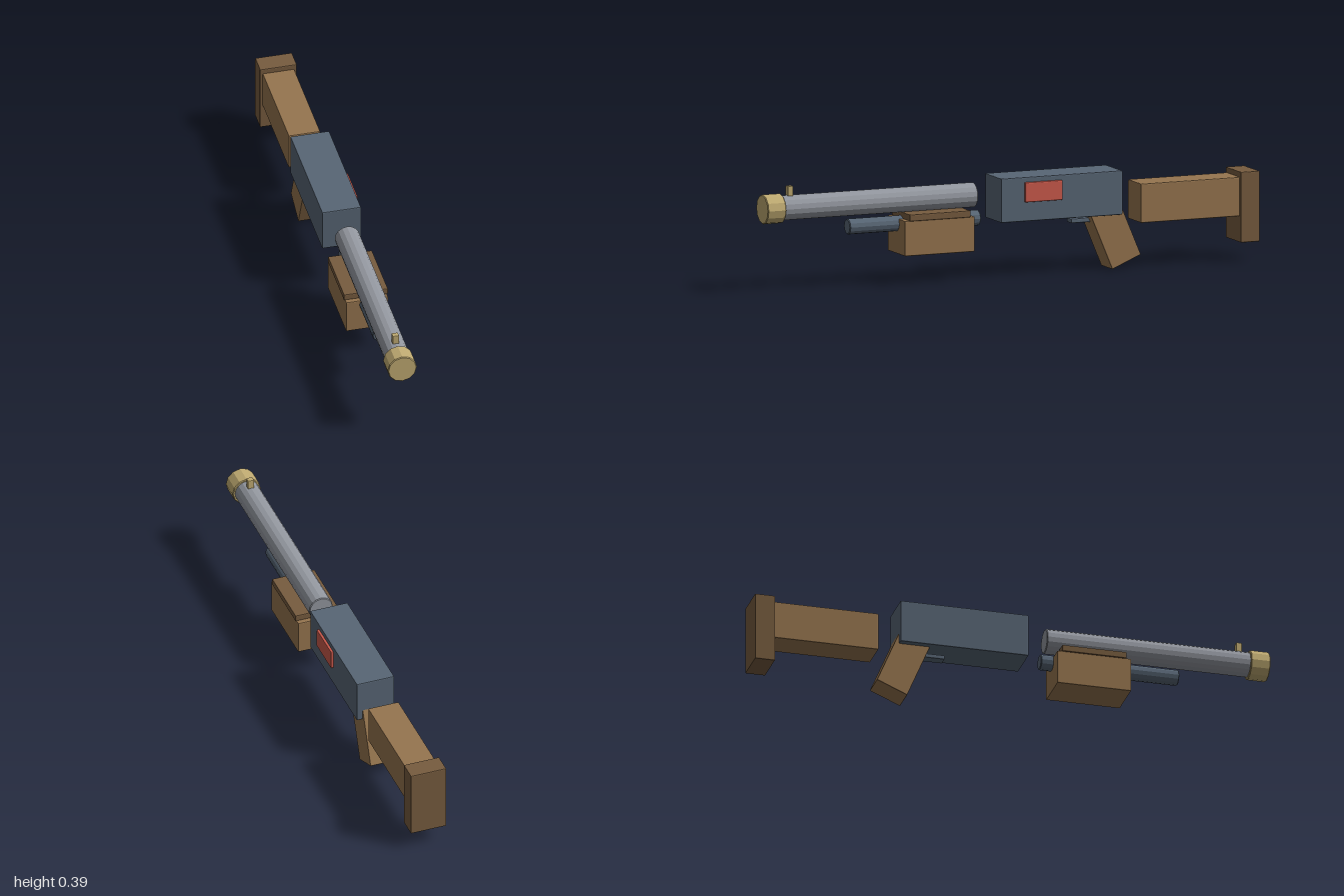
import * as THREE from 'three';
import { RoundedBoxGeometry } from 'three/addons/geometries/RoundedBoxGeometry.js';

const material = (color) => new THREE.MeshStandardMaterial({ color, flatShading: true });

export function createModel() {
  const group = new THREE.Group();
  const wood = material(0x96754f);
  const darkWood = material(0x775c3f);
  const steel = material(0x586675);
  const silver = material(0x93979f);
  const brass = material(0xc0ab72);
  const red = material(0xcc5a4c);

  const add = (name, geometry, mat) => {
    const mesh = new THREE.Mesh(geometry, mat);
    mesh.name = name;
    group.add(mesh);
    return mesh;
  };

  // Box with a slight bevel, given by its limits on each axis
  const block = (name, mat, [x0, x1], [y0, y1], [z0, z1], bevel = 0.004) => {
    const mesh = add(name, new RoundedBoxGeometry(x1 - x0, y1 - y0, z1 - z0, 1, bevel), mat);
    mesh.position.set((x0 + x1) / 2, (y0 + y1) / 2, (z0 + z1) / 2);
    return mesh;
  };

  // Chamfered faceted rod lying along z
  const rod = (name, mat, radius, y, z0, z1, sides, bevel = 0.003) => {
    const h = (z1 - z0) / 2;
    const profile = [
      [0, -h], [radius - bevel, -h], [radius, bevel - h],
      [radius, h - bevel], [radius - bevel, h], [0, h],
    ].map(([r, l]) => new THREE.Vector2(r, l));
    const mesh = add(name, new THREE.LatheGeometry(profile, sides), mat);
    mesh.rotation.x = Math.PI / 2;
    mesh.position.set(0, y, (z0 + z1) / 2);
  };

  // Receiver with its side panel
  block('receiver', steel, [-0.075, 0.075], [0.214, 0.381], [-0.438, 0.058]);
  block('sidePanel', red, [0.065, 0.085], [0.287, 0.362], [-0.19, -0.037]);

  // Barrel, muzzle, front sight and magazine tube
  rod('barrel', silver, 0.047, 0.316, 0.138, 0.93, 16);
  rod('muzzle', brass, 0.056, 0.315, 0.925, 1, 12);
  block('frontSight', brass, [-0.0125, 0.0125], [0.36, 0.398], [0.878, 0.9], 0.003);
  rod('magazineTube', steel, 0.0295, 0.228, 0.119, 0.654, 12);

  // Sliding fore-end
  block('foreEnd', wood, [-0.081, 0.081], [0.114, 0.247], [0.167, 0.453]);
  block('foreEndCap', darkWood, [-0.085, 0.085], [0.245, 0.271], [0.185, 0.435]);

  // Trigger and raked grip
  block('trigger', steel, [-0.02, 0.02], [0.185, 0.202], [-0.36, -0.252], 0.004);
  const grip = add('grip', new RoundedBoxGeometry(0.104, 0.25, 0.127, 1, 0.004), wood);
  grip.position.set(0, 0.145, -0.416);
  grip.rotation.x = 0.4;

  // Stock and butt plate
  block('stock', wood, [-0.061, 0.061], [0.175, 0.323], [-0.925, -0.519]);
  block('buttPlate', darkWood, [-0.071, 0.071], [0.076, 0.343], [-1, -0.922]);

  return group;
}
